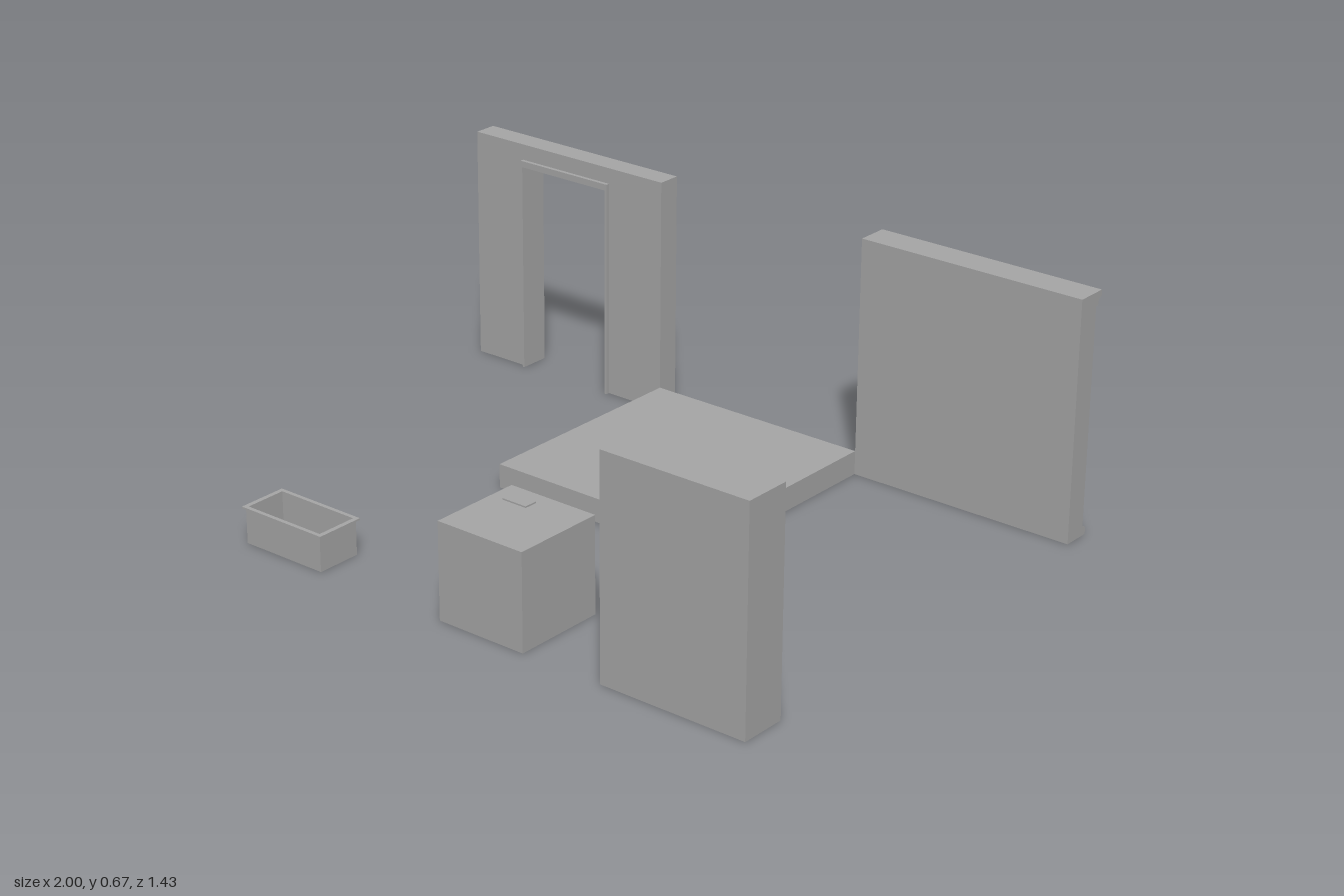
import * as THREE from 'three';

export function createModel() {
  const model = new THREE.Group();
  const grey = new THREE.MeshStandardMaterial({ color: 0xa6a6a6 });
  grey.name = 'plain grey';

  const add = (name, geometry, parent = model) => {
    const mesh = new THREE.Mesh(geometry, grey);
    mesh.name = name;
    parent.add(mesh);
    return mesh;
  };
  const group = (name) => {
    const g = new THREE.Group();
    g.name = name;
    model.add(g);
    return g;
  };
  // Box given by its lowest and highest corners
  const box = (name, [x0, y0, z0], [x1, y1, z1], parent) => {
    const mesh = add(name, new THREE.BoxGeometry(x1 - x0, y1 - y0, z1 - z0), parent);
    mesh.position.set((x0 + x1) / 2, (y0 + y1) / 2, (z0 + z1) / 2);
    return mesh;
  };
  const polygon = (points) => new THREE.Shape(points.map(([x, y]) => new THREE.Vector2(x, y)));
  const extrude = (shape, depth, curveSegments = 12) =>
    new THREE.ExtrudeGeometry(shape, { depth, bevelEnabled: false, curveSegments });
  // Upside-down U standing on the ground: outer and inner left, right and top
  const arch = (l, r, t, il, ir, it) =>
    polygon([[l, 0], [il, 0], [il, it], [ir, it], [ir, 0], [r, 0], [r, t], [l, t]]);

  // Floor tile
  box('floor', [-0.333, 0, -0.622], [0.333, 0.067, 0.045]);

  // Wall with a doorway and its thin lining
  const doorway = group('doorwayWall');
  add('wall', extrude(arch(-1, -0.333, 0.667, -0.829, -0.517, 0.622), 0.067), doorway).position.z = -0.689;
  add('doorFrame', extrude(arch(-0.829, -0.517, 0.622, -0.823, -0.523, 0.604), 0.089), doorway).position.z = -0.7;

  // Plain wall with skirting and cornice on its back, extruded along x
  const profile = polygon([
    [0.622, 0], [0.702, 0], [0.702, 0.02], [0.689, 0.027], [0.689, 0.628], [0.698, 0.63],
    [0.7, 0.645], [0.712, 0.652], [0.712, 0.667], [0.622, 0.667],
  ]);
  const wall = add('mouldedWall', extrude(profile, 0.667));
  wall.rotation.y = Math.PI / 2;
  wall.position.x = 0.333;

  // Bookcase, open towards the back
  const bookcase = group('bookcase');
  const t = 0.013;
  box('backPanel', [0.572, 0, 0.699], [1, 0.6, 0.712], bookcase);
  box('rightSide', [0.572, 0, 0.58], [0.572 + t, 0.6, 0.699], bookcase);
  box('leftSide', [1 - t, 0, 0.58], [1, 0.6, 0.699], bookcase);
  for (let i = 0; i < 4; i++) {
    const y = i * (0.6 - t) / 3;
    box('shelf', [0.572 + t, y, 0.58], [1 - t, y + t, 0.699], bookcase);
  }

  // Cube machine with a round porthole on its back
  const machine = group('washer');
  box('body', [0.066, 0, 0.445], [0.333, 0.267, 0.712], machine);
  box('topPanel', [0.105, 0.267, 0.485], [0.18, 0.271, 0.523], machine);
  const ringProfile = [[0.078, 0], [0.078, 0.012], [0.082, 0.018], [0.097, 0.018], [0.102, 0.012], [0.102, 0]];
  // Each profile step is its own band, so the edges stay crisp
  for (let i = 0; i < ringProfile.length - 1; i++) {
    const band = ringProfile.slice(i, i + 2).reverse().map(([r, h]) => new THREE.Vector2(r, h));
    const ring = add('portholeRing', new THREE.LatheGeometry(band, 40), machine);
    ring.rotation.x = -Math.PI / 2;
    ring.position.set(0.197, 0.136, 0.445);
  }
  const glass = add('portholeGlass', new THREE.CylinderGeometry(0.078, 0.078, 0.006, 40), machine);
  glass.rotation.x = Math.PI / 2;
  glass.position.set(0.197, 0.136, 0.442);

  // Open tray with a thin rim
  const tray = group('tray');
  const frame = (w, d, iw, id, height) => {
    const rect = (a, b) => [[-a, -b], [a, -b], [a, b], [-a, b]].map(([x, y]) => [x / 2, y / 2]);
    const shape = polygon(rect(w, d));
    shape.holes.push(polygon(rect(iw, id)));
    return extrude(shape, height).rotateX(-Math.PI / 2);
  };
  add('traySides', frame(0.26, 0.129, 0.25, 0.119, 0.097), tray).position.set(-0.47, 0, 0.643);
  add('trayRim', frame(0.276, 0.142, 0.25, 0.119, 0.005), tray).position.set(-0.47, 0.097, 0.643);
  box('trayBottom', [-0.595, 0, 0.5835], [-0.345, 0.006, 0.7025], tray);

  return model;
}
